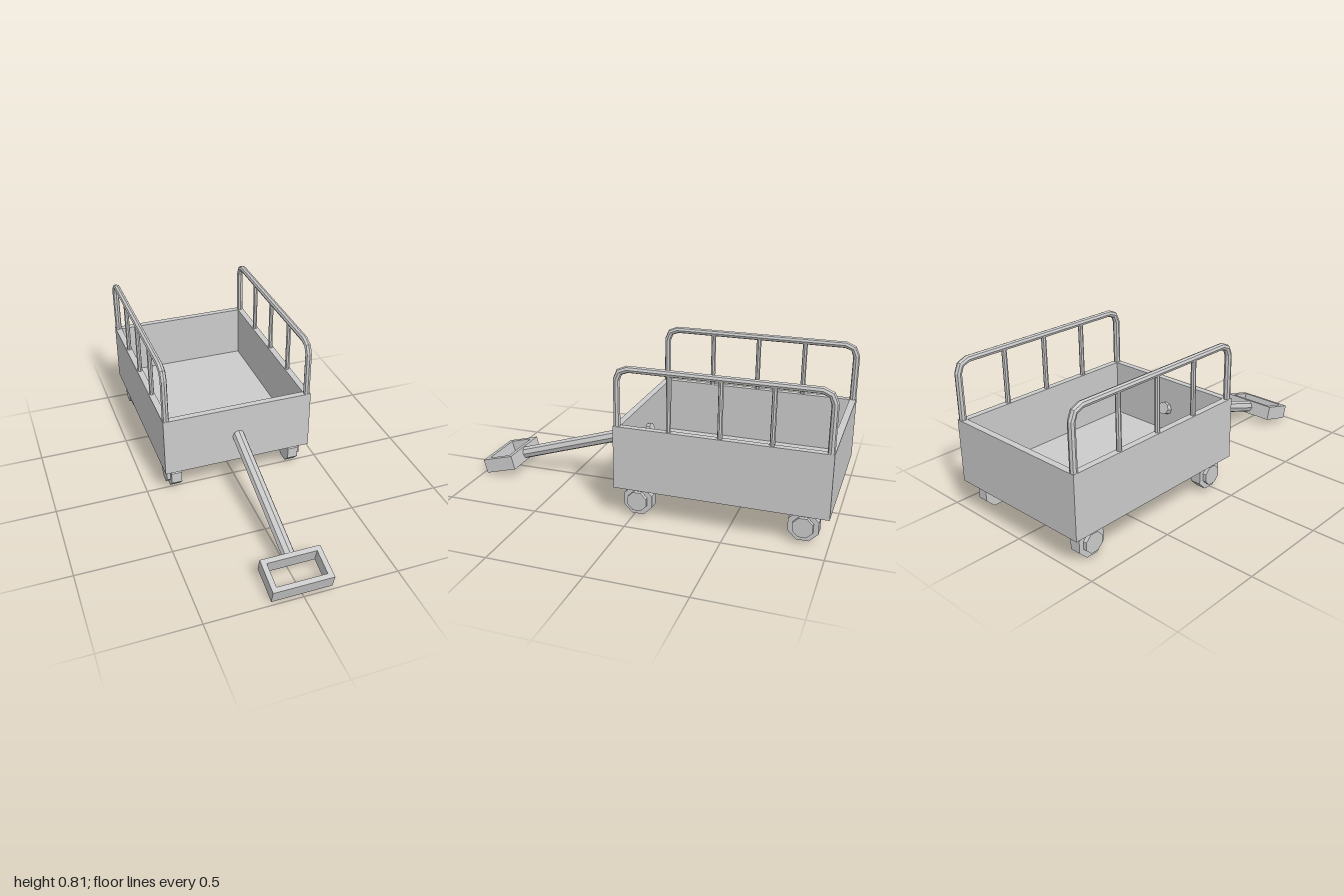
import * as THREE from 'three';

const material = new THREE.MeshStandardMaterial({ color: 0xcccccc, flatShading: true });

function add(parent, name, geometry, x = 0, y = 0, z = 0) {
  const mesh = new THREE.Mesh(geometry, material);
  mesh.name = name;
  mesh.position.set(x, y, z);
  parent.add(mesh);
  return mesh;
}

// Upright rectangular frame, open through the middle, centred on its origin
function frameGeometry(width, depth, height, wall) {
  const rect = (Type, w, d) => new Type([
    new THREE.Vector2(-w, -d), new THREE.Vector2(w, -d),
    new THREE.Vector2(w, d), new THREE.Vector2(-w, d)]);
  const shape = rect(THREE.Shape, width / 2, depth / 2);
  shape.holes.push(rect(THREE.Path, width / 2 - wall, depth / 2 - wall));
  return new THREE.ExtrudeGeometry(shape, { depth: height, bevelEnabled: false })
    .translate(0, 0, -height / 2).rotateX(-Math.PI / 2);
}

// Tube with one ring at each given point
function tubeThrough(points, radius, sides) {
  const n = points.length - 1;
  const curve = new THREE.Curve();
  curve.getPointAt = t => points[Math.round(t * n)].clone();
  curve.getTangentAt = t => {
    const i = Math.round(t * n);
    const here = points[i];
    const tangent = new THREE.Vector3();
    if (i > 0) tangent.add(here.clone().sub(points[i - 1]).normalize());
    if (i < n) tangent.add(points[i + 1].clone().sub(here).normalize());
    return tangent.normalize();
  };
  return new THREE.TubeGeometry(curve, n, radius, sides, false);
}

// Octagonal wheel part, axle along x, flat side down
function wheelGeometry(apothem, width) {
  return new THREE.CylinderGeometry(1, 1, width, 8)
    .rotateY(Math.PI / 8).scale(apothem / Math.cos(Math.PI / 8), 1, apothem / Math.cos(Math.PI / 8))
    .rotateZ(Math.PI / 2);
}

export function createModel() {
  const wagon = new THREE.Group();
  wagon.name = 'wagon';

  // Open box body
  const bodyZ = -0.455;
  add(wagon, 'bodyWalls', frameGeometry(0.824, 1.09, 0.334, 0.034), 0, 0.33, bodyZ);
  add(wagon, 'bodyFloor', new THREE.BoxGeometry(0.79, 0.033, 1.05), 0, 0.1797, bodyZ);

  // Side rails: a bent tube with three thinner posts
  const front = 0.072, back = -0.982, top = 0.794, bend = 0.058;
  const path = [new THREE.Vector3(0, 0.48, front)];
  for (const [z, start] of [[front - bend, 0], [back + bend, Math.PI / 2]]) {
    for (let i = 0; i <= 2; i++) {
      const a = start + i * Math.PI / 4;
      path.push(new THREE.Vector3(0, top - bend + bend * Math.sin(a), z + bend * Math.cos(a)));
    }
  }
  path.push(new THREE.Vector3(0, 0.48, back));
  const railGeometry = tubeThrough(path, 0.018, 8);
  const postGeometry = new THREE.CylinderGeometry(0.013, 0.013, 0.31, 8);

  for (const [side, s] of [['left', 1], ['right', -1]]) {
    const rail = new THREE.Group();
    rail.name = side + 'Rail';
    rail.position.x = s * 0.394;
    add(rail, 'railTube', railGeometry);
    for (const z of [-0.197, -0.454, -0.708]) add(rail, 'railPost', postGeometry, 0, 0.64, z);
    wagon.add(rail);

    // Wheels with outer hubs
    for (const [end, z] of [['Front', -0.026], ['Back', -0.873]]) {
      const wheel = new THREE.Group();
      wheel.name = side + end + 'Wheel';
      wheel.position.set(s * 0.341, 0.09, z);
      add(wheel, 'tire', wheelGeometry(0.075, 0.058));
      add(wheel, 'hub', wheelGeometry(0.05, 0.04), s * 0.029);
      wagon.add(wheel);
    }
  }

  // Pull handle: shaft through the front wall and a tilted grip frame
  const inner = new THREE.Vector3(0, 0.338, 0.027);
  const outer = new THREE.Vector3(0, 0.085, 0.82);
  const along = outer.clone().sub(inner);
  const shaft = add(wagon, 'handleShaft', new THREE.CylinderGeometry(0.034, 0.034, along.length(), 8));
  shaft.position.copy(inner).add(outer).multiplyScalar(0.5);
  shaft.rotation.x = Math.atan2(along.z, along.y);

  const grip = add(wagon, 'handleGrip', frameGeometry(0.316, 0.185, 0.079, 0.027), 0, 0.062, 0.9);
  grip.rotation.x = THREE.MathUtils.degToRad(15);

  return wagon;
}
